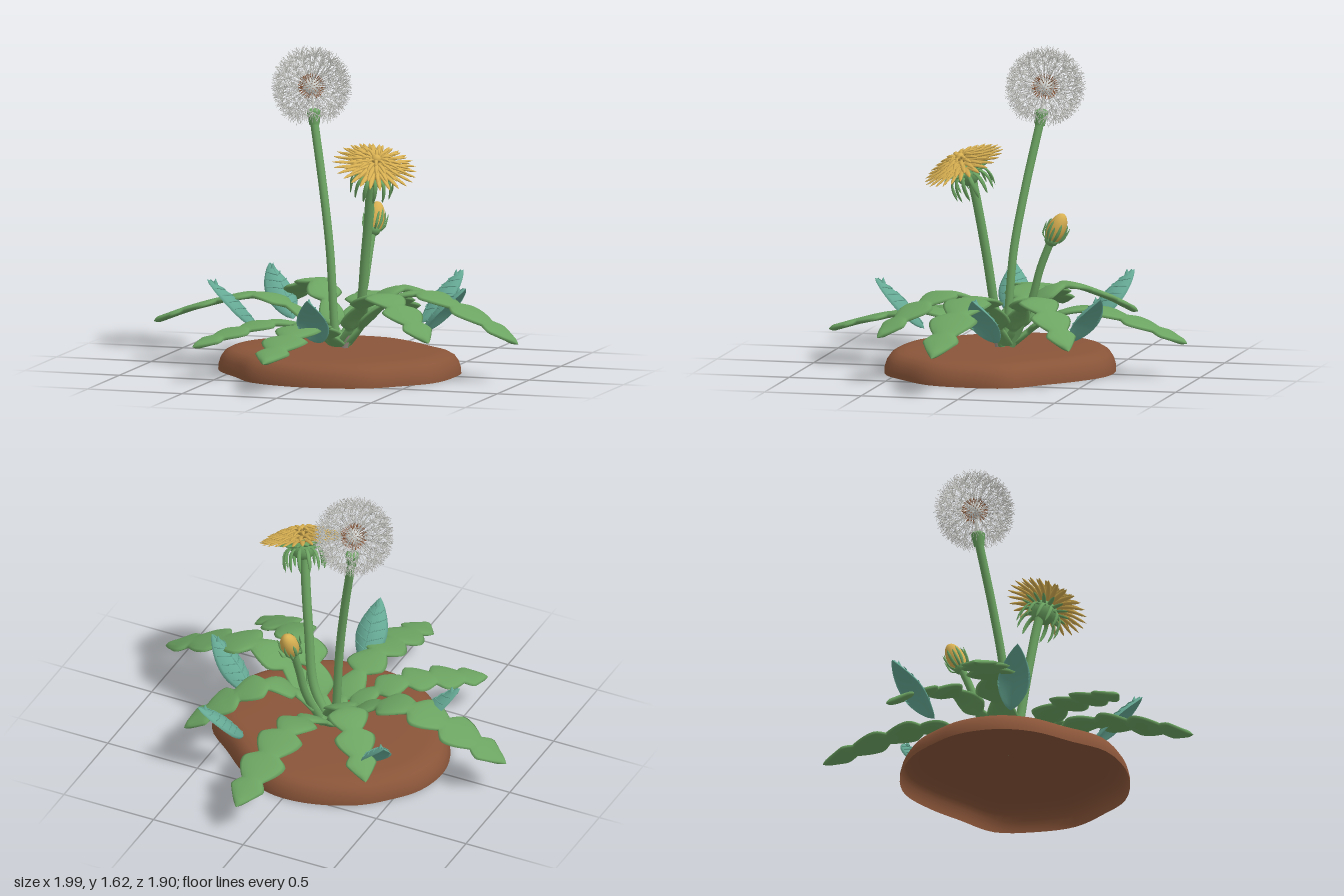
import * as THREE from 'three';
import { mergeGeometries } from 'three/addons/utils/BufferGeometryUtils.js';

const V = (x, y, z) => new THREE.Vector3(x, y, z);
const UP = V(0, 1, 0);

function material(name, color, side = THREE.FrontSide) {
  const m = new THREE.MeshStandardMaterial({ color, side });
  m.name = name;
  return m;
}

function add(parent, name, geometry, mat) {
  const mesh = new THREE.Mesh(geometry, mat);
  mesh.name = name;
  parent.add(mesh);
  return mesh;
}

// Skin a list of closed rings with equal point counts
function loft(rings) {
  const n = rings[0].length, pos = [], idx = [];
  rings.forEach((ring) => ring.forEach((p) => pos.push(p.x, p.y, p.z)));
  for (let i = 0; i < rings.length - 1; i++) {
    for (let j = 0; j < n; j++) {
      const a = i * n + j, b = i * n + (j + 1) % n;
      idx.push(a, b, a + n, b, b + n, a + n);
    }
  }
  const g = new THREE.BufferGeometry();
  g.setAttribute('position', new THREE.Float32BufferAttribute(pos, 3));
  g.setIndex(idx);
  g.computeVertexNormals();
  return g;
}

// Lens-section blade along a curve; half(t) gives the half width, droop lowers the edges
function blade(points, half, thick, segments, sides = 8, droop = 0) {
  const curve = new THREE.CatmullRomCurve3(points);
  const d = points[points.length - 1].clone().sub(points[0]);
  const side = V(d.z, 0, -d.x).normalize();
  const rings = [];
  for (let i = 0; i <= segments; i++) {
    const t = i / segments, p = curve.getPointAt(t);
    const normal = curve.getTangentAt(t).cross(side).normalize();
    const w = Math.max(half(t), 0.0004), h = Math.min(thick, w * 0.6);
    rings.push(Array.from({ length: sides }, (_, j) => {
      const a = (j / sides) * Math.PI * 2, c = Math.cos(a);
      return p.clone().addScaledVector(side, c * w).addScaledVector(normal, Math.sin(a) * h - droop * w * c * c);
    }));
  }
  return loft(rings);
}

// Ring of narrow blades following a radius/height profile
function whorl(count, profile, width, thick, phase = 0) {
  return mergeGeometries(Array.from({ length: count }, (_, i) => {
    const a = ((i + phase) / count) * Math.PI * 2;
    const pts = profile.map(([r, y]) => V(Math.sin(a) * r, y, Math.cos(a) * r));
    return blade(pts, (t) => width * Math.sqrt(Math.max(0, Math.sin(Math.PI * (0.12 + 0.88 * t)))), thick, 8, 6);
  }));
}

// Thin rod between two points
function rod(a, b, r0, r1 = r0, sides = 3) {
  const d = b.clone().sub(a);
  const g = new THREE.CylinderGeometry(r1, r0, d.length(), sides, 1, true);
  g.applyQuaternion(new THREE.Quaternion().setFromUnitVectors(UP, d.clone().normalize()));
  const m = a.clone().add(b).multiplyScalar(0.5);
  return g.translate(m.x, m.y, m.z);
}

function tube(points, radius) {
  return new THREE.TubeGeometry(new THREE.CatmullRomCurve3(points.map((p) => V(...p))), 28, radius, 12);
}

// Backward-pointing lobes shrinking toward the stalk, with an arrowhead tip
const lobeSize = [0.78, 1.02, 1.02, 0.9, 0.68, 0.42, 0.25];
function lobedHalf(t) {
  const v = (1 - t) * 5.6, k = Math.floor(v), u = v - k, x = u / 0.68;
  const rise = k === 0 ? Math.pow(x, 0.85) : Math.sin(x * Math.PI / 2);
  const f = u < 0.68 ? rise : Math.cos(((u - 0.68) / 0.32) * Math.PI / 2);
  const size = lobeSize[k], next = lobeSize[k + 1] ?? 0.2;
  const start = k === 0 ? 0 : size * 0.5;
  const waist = u < 0.68 ? start : next * 0.5;
  return waist + (size - waist) * f;
}

export function createModel() {
  const model = new THREE.Group();
  model.name = 'floweringPlant';
  const soilMat = material('soilBrown', 0x8a5539, THREE.DoubleSide);
  const green = material('leafGreen', 0x6ca462);
  const teal = material('youngLeafTeal', 0x65a994);
  const yellow = material('petalYellow', 0xd8b052);
  const pale = material('fluffGrey', 0xd2d2ce);
  const seedMat = material('seedBrown', 0x96603f);
  const crownMat = material('crownGrey', 0x9c8d84);

  // Soil mound: irregular outline shrunk through a rounded profile, open below
  const outline = new THREE.CatmullRomCurve3([
    [0, 0.605], [0.3, 0.55], [0.45, 0.42], [0.58, 0.26], [0.615, 0.05], [0.59, -0.15], [0.43, -0.3], [0.28, -0.43],
    [0.09, -0.535], [-0.12, -0.535], [-0.36, -0.44], [-0.49, -0.32], [-0.59, -0.18], [-0.625, 0.02], [-0.57, 0.2], [-0.43, 0.37], [-0.29, 0.53],
  ].map(([x, z]) => V(x, 0, z)), true).getPoints(68).slice(0, 68);
  const moundProfile = [[1, 0], [0.998, 0.025], [0.98, 0.06], [0.945, 0.09], [0.89, 0.108], [0.8, 0.116], [0.5, 0.12], [0.002, 0.124]];
  add(model, 'soilMound', loft(moundProfile.map(([s, y]) => outline.map((p) => V(p.x * s, y, p.z * s)))), soilMat);

  // Rosette of lobed leaves: tip x, tip z, tip height, arch height
  const leaves = [
    [0.065, -0.95, 0.18, 0.33], [-0.09, 0.945, 0.16, 0.28], [0.99, 0.14, 0.2, 0.42], [-1, -0.04, 0.2, 0.36],
    [0.59, -0.47, 0.2, 0.4], [0.64, 0.51, 0.24, 0.42], [-0.57, 0.63, 0.18, 0.27], [-0.47, -0.56, 0.25, 0.41],
  ];
  for (const [x, z, tip, peak] of leaves) {
    const path = [[0.04, 0.14], [0.22, 0.13 + 0.7 * (peak - 0.13)], [0.43, peak], [0.73, peak - 0.38 * (peak - tip)], [1, tip]];
    const width = 0.12 * Math.pow(Math.hypot(x, z) / 0.95, 0.6);
    add(model, 'lobedLeaf', blade(path.map(([f, y]) => V(x * f, y, z * f)), (t) => width * lobedHalf(t), 0.016, 84, 12), green);
  }

  // Upright arched young leaves with raised veins: outer tip x, z and inner end x, z
  const youngLeaves = [
    [-0.55, -0.52, -0.36, -0.33], [0.45, -0.6, 0.29, -0.4], [0.67, 0.01, 0.41, -0.05], [-0.66, 0.13, -0.41, 0.06], [0.05, 0.67, 0.03, 0.42],
  ];
  for (const [tx, tz, bx, bz] of youngLeaves) {
    const group = new THREE.Group();
    group.name = 'youngLeaf';
    model.add(group);
    const base = V(bx, 0.2, bz), tip = V(tx, 0.45, tz), along = tip.clone().sub(base);
    const side = V(along.z, 0, -along.x).normalize();
    const lift = along.clone().normalize().cross(side).normalize();
    const half = (t) => 0.082 * Math.pow(Math.sin(Math.PI * Math.pow(t, 0.9)), 0.8);
    const bow = 0.025, droop = 0.5;
    const mid = base.clone().lerp(tip, 0.5).addScaledVector(lift, bow);
    add(group, 'youngBlade', blade([base, mid, tip], half, 0.008, 20, 12, droop), teal);
    // Point on the upper face: t along the blade, s across it from -1 to 1
    const at = (t, s) => base.clone().lerp(tip, t).addScaledVector(side, s * half(t))
      .addScaledVector(lift, bow * Math.sin(Math.PI * t) + 0.008 - droop * half(t) * s * s);
    const veins = [rod(at(0.06, 0), at(0.5, 0), 0.004, 0.004, 5), rod(at(0.5, 0), at(0.97, 0), 0.004, 0.003, 5)];
    for (const t of [0.2, 0.33, 0.46, 0.59, 0.72]) {
      for (const s of [-1, 1]) {
        const elbow = at(t + 0.06, s * 0.5);
        veins.push(rod(at(t, 0), elbow, 0.003, 0.003, 5), rod(elbow, at(t + 0.12, s * 0.9), 0.003, 0.002, 5));
      }
    }
    add(group, 'youngVeins', mergeGeometries(veins), teal);
    const nub = add(group, 'leafTipNub', new THREE.ConeGeometry(0.014, 0.03, 8), teal);
    nub.position.copy(at(0.9, 0)).addScaledVector(lift, 0.008);
  }

  // Flower stalks
  add(model, 'seedHeadStem', tube([[-0.02, 0.125, 0.01], [-0.035, 0.3, 0], [-0.06, 0.6, -0.02], [-0.11, 0.9, -0.065], [-0.178, 1.23, -0.125]], 0.0215), green);
  add(model, 'flowerStem', tube([[0.03, 0.13, 0.02], [0.11, 0.3, 0.03], [0.155, 0.6, 0.065], [0.195, 0.9, 0.11], [0.206, 1, 0.13]], 0.0235), green);
  add(model, 'budStem', tube([[0.03, 0.13, -0.03], [0.07, 0.37, -0.145], [0.082, 0.54, -0.195], [0.086, 0.68, -0.25]], 0.02), green);
  add(model, 'crownSheath', rod(V(0.035, 0.125, 0.035), V(0.06, 0.2, 0.045), 0.017, 0.015, 12), crownMat);

  // Open flower tilted toward the front left
  const flower = new THREE.Group();
  flower.name = 'openFlower';
  flower.position.set(0.238, 1.067, 0.162);
  flower.quaternion.setFromUnitVectors(UP, V(0.3, 1, 0.38).normalize());
  model.add(flower);
  const petals = [[26, 0.216, 0.0], [22, 0.182, 0.022], [17, 0.132, 0.042], [10, 0.08, 0.055]];
  petals.forEach(([n, r, y], i) => {
    add(flower, 'petalRing', whorl(n, [[0.015, y - 0.012], [r * 0.55, y + 0.008], [r, y]], 0.0145 - i * 0.0015, 0.005, i * 0.5), yellow);
  });
  add(flower, 'flowerCentre', new THREE.SphereGeometry(0.026, 14, 10).translate(0, 0.045, 0), yellow);
  add(flower, 'flowerCup', new THREE.LatheGeometry(
    [[0.001, -0.105], [0.03, -0.1], [0.055, -0.075], [0.066, -0.04], [0.06, -0.01], [0.001, -0.005]].map(([x, y]) => new THREE.Vector2(x, y)), 20), green);
  add(flower, 'hangingBracts', whorl(13, [[0.05, -0.035], [0.09, -0.055], [0.106, -0.1], [0.104, -0.155]], 0.011, 0.005), green);
  add(flower, 'spreadBracts', whorl(14, [[0.04, -0.03], [0.09, -0.02], [0.13, -0.018]], 0.011, 0.005, 0.5), green);

  // Closed bud leaning back
  const bud = new THREE.Group();
  bud.name = 'closedBud';
  bud.position.set(0.092, 0.74, -0.28);
  bud.quaternion.setFromUnitVectors(UP, V(0.03, 0.9, -0.42).normalize());
  model.add(bud);
  add(bud, 'budPetals', new THREE.SphereGeometry(1, 18, 14).scale(0.046, 0.087, 0.046), yellow);
  add(bud, 'budCup', new THREE.SphereGeometry(1, 16, 10).scale(0.036, 0.032, 0.036).translate(0, -0.062, 0), green);
  add(bud, 'budBracts', whorl(6, [[0.03, -0.065], [0.046, -0.03], [0.05, 0.012], [0.044, 0.045]], 0.009, 0.005), green);
  add(bud, 'looseBracts', whorl(6, [[0.03, -0.065], [0.056, -0.045], [0.062, -0.01], [0.066, 0.025]], 0.007, 0.004, 0.5), green);

  // Seed head: cup, core and radiating plumed seeds
  const head = new THREE.Group();
  head.name = 'seedHead';
  head.position.set(-0.202, 1.412, -0.146);
  model.add(head);
  const down = V(0.024, -0.19, 0.021);
  add(head, 'seedCup', rod(down, V(0.018, -0.125, 0.014), 0.026, 0.035, 14), green);
  add(head, 'seedCupTop', new THREE.SphereGeometry(0.035, 14, 8).scale(1, 0.5, 1).translate(0.018, -0.125, 0.014), green);
  add(head, 'seedNeck', rod(V(0.018, -0.125, 0.014), V(0, 0, 0), 0.007, 0.007, 8), pale);
  add(head, 'seedCore', new THREE.SphereGeometry(0.046, 16, 12), pale);
  const fluff = [], seeds = [], count = 150, hairs = 11, axis = down.clone().normalize();
  for (let i = 0; i < count; i++) {
    const y = 1 - (2 * i + 1) / count, r = Math.sqrt(1 - y * y), a = i * 2.399963;
    const dir = V(Math.cos(a) * r, y, Math.sin(a) * r);
    if (dir.dot(axis) > 0.88) continue;
    const u = V(-Math.sin(a), 0, Math.cos(a)), w = dir.clone().cross(u);
    const reach = 0.155 + 0.008 * Math.sin(i * 5.1);
    const hub = dir.clone().multiplyScalar(reach);
    seeds.push(rod(dir.clone().multiplyScalar(0.045), dir.clone().multiplyScalar(0.068), 0.0016, 0.0024, 4));
    fluff.push(rod(dir.clone().multiplyScalar(0.068), hub, 0.0016));
    for (let k = 0; k < hairs; k++) {
      const b = (k / hairs) * Math.PI * 2 + i, spread = 0.036 + 0.012 * Math.sin(k * 2.3 + i);
      const end = dir.clone().multiplyScalar(reach + 0.04 + 0.005 * Math.cos(k * 3.1 + i))
        .addScaledVector(u, Math.cos(b) * spread).addScaledVector(w, Math.sin(b) * spread);
      fluff.push(rod(hub, end, 0.0016, 0.001));
    }
  }
  add(head, 'seedGrains', mergeGeometries(seeds), seedMat);
  add(head, 'seedPlumes', mergeGeometries(fluff), pale);
  return model;
}
